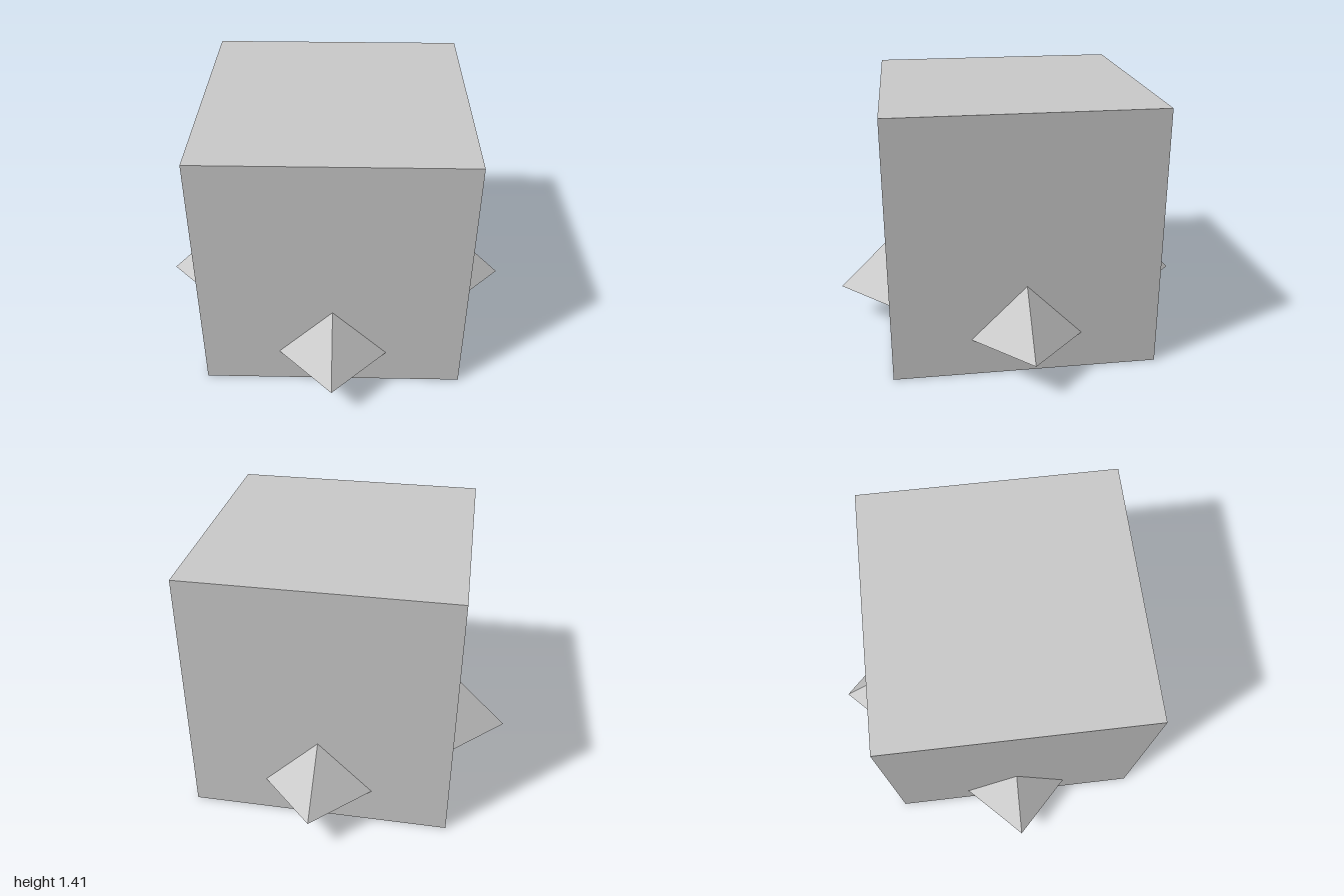
import * as THREE from 'three';

export function createModel() {
  const group = new THREE.Group();
  const material = new THREE.MeshStandardMaterial({ color: 0xcccccc, flatShading: true });
  const side = Math.SQRT2;

  const add = (name, geometry) => {
    const mesh = new THREE.Mesh(geometry, material);
    mesh.name = name;
    mesh.position.y = side / 2;
    group.add(mesh);
  };

  // Main cube, standing on the ground
  add('cube', new THREE.BoxGeometry(side, side, side));

  // Four-sided pyramid sharing the cube's centre; its base corners pierce the four walls
  add('pyramid', new THREE.ConeGeometry(1, 1, 4));

  return group;
}
